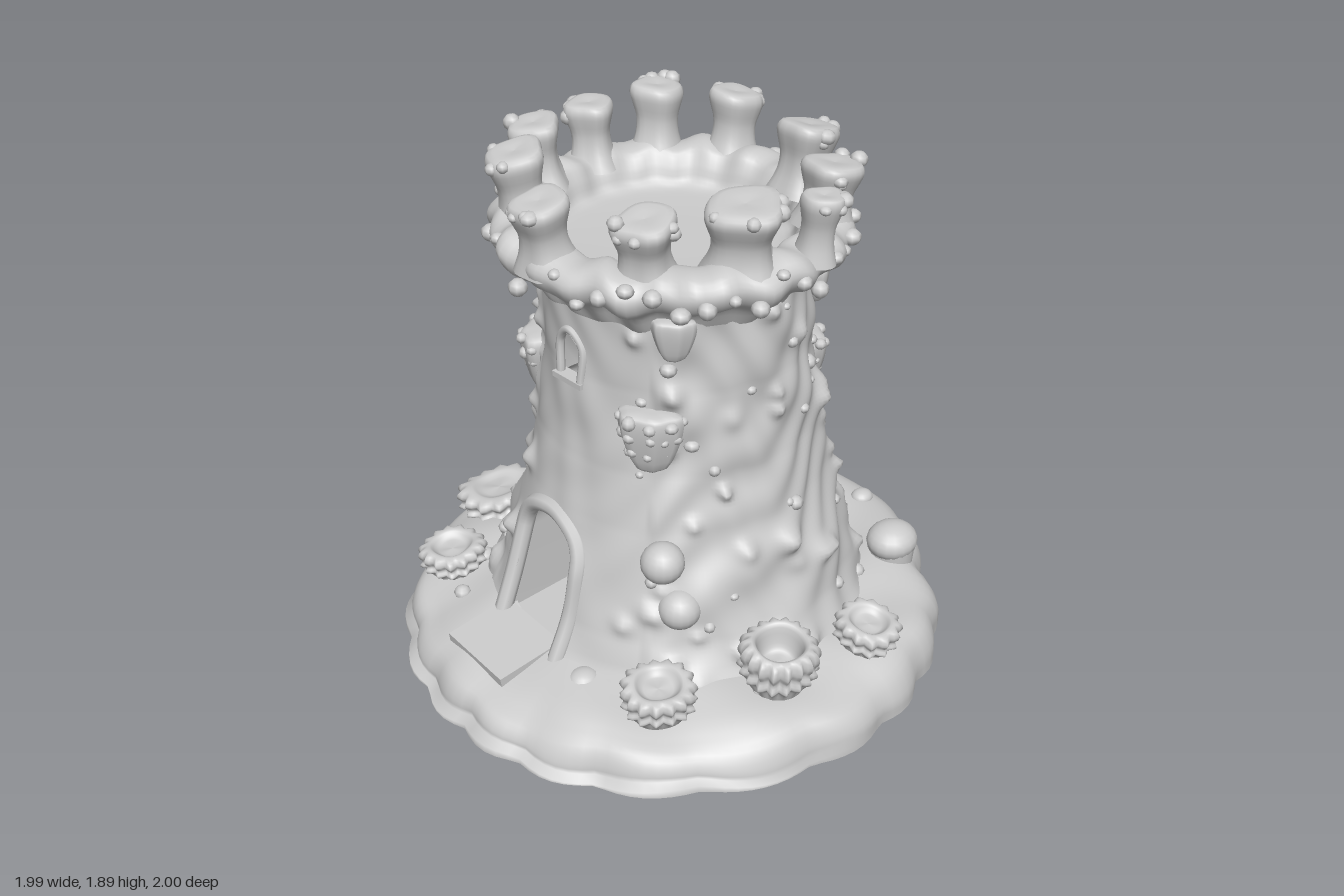
import * as THREE from 'three';

const mat = new THREE.MeshStandardMaterial({ color: 0xcccccc, side: THREE.DoubleSide });
const CZ = -0.03; // tower axis
const DOOR = { x: -0.065, w: 0.15, spring: 0.5, base: 0.17 };
const V = (x, y, z) => new THREE.Vector3(x, y, z);

let seed = 7;
const rand = () => (seed = (seed * 16807) % 2147483647) / 2147483647;
const range = (a, b) => a + (b - a) * rand();

// Linear interpolation through [key, value] pairs
function lerpTable(table, k) {
  for (let i = 1; i < table.length; i++) {
    const [a, va] = table[i - 1], [b, vb] = table[i];
    if (k <= b) return va + (vb - va) * Math.max(0, (k - a) / (b - a));
  }
  return table[table.length - 1][1];
}

// Closed ring surface: fn(angle, t) gives a point; angle 0 faces the front. skip(p) leaves holes.
function ringSurface(nu, nv, fn, skip = () => false) {
  const pos = [], idx = [];
  for (let j = 0; j <= nv; j++)
    for (let i = 0; i < nu; i++) pos.push(...fn((i / nu) * Math.PI * 2, j / nv).toArray());
  const centre = (a, b) => V(0, 0, 0).fromArray(pos, a * 3).add(V(0, 0, 0).fromArray(pos, b * 3)).multiplyScalar(0.5);
  for (let j = 0; j < nv; j++)
    for (let i = 0; i < nu; i++) {
      const a = j * nu + i, b = j * nu + (i + 1) % nu, c = a + nu, d = b + nu;
      if (!skip(centre(a, d))) idx.push(a, b, c, b, d, c);
    }
  const g = new THREE.BufferGeometry();
  g.setAttribute('position', new THREE.Float32BufferAttribute(pos, 3));
  g.setIndex(idx);
  g.computeVertexNormals();
  return g;
}

// Resamples a profile of [radius, height] points
function profile(points) {
  const curve = new THREE.CatmullRomCurve3(points.map(([r, y]) => V(r, y, 0)), false, 'centripetal');
  return t => curve.getPoint(t);
}

const WALL = [[0.12, 0.73], [0.22, 0.675], [0.32, 0.635], [0.5, 0.585], [0.7, 0.53], [0.9, 0.49], [1.2, 0.46], [1.6, 0.46]];
// Lumps swelling out of the stone on the sides and back
const lumps = Array.from({ length: 130 }, () => ({
  a: range(0.5, Math.PI * 2 - 0.5), y: range(0.2, 1.5), size: range(0.025, 0.055), h: range(0.02, 0.045),
}));
function wallRadius(a, y) {
  const calm = Math.cos(a) > 0.8 ? 0.35 : 1;
  const stones = Math.sin(12 * a + 3 * Math.sin(4 * y)) * Math.sin(20 * y + 2 * Math.sin(5 * a));
  let r = lerpTable(WALL, y) + calm * (0.012 * stones + 0.007 * Math.sin(7 * a + 3 * Math.sin(6 * y)));
  const turn = (a + Math.PI * 2) % (Math.PI * 2);
  for (const l of lumps) {
    const d = Math.hypot((turn - l.a) * 0.52, y - l.y) / l.size;
    if (d < 2) r += l.h * Math.exp(-1.5 * d * d);
  }
  return r;
}
const onWall = (a, y, out = 0) => {
  const r = wallRadius(a, y) + out;
  return V(Math.sin(a) * r, y, Math.cos(a) * r + CZ);
};
const frontPoint = (x, y, out = 0) => onWall(Math.asin(x / lerpTable(WALL, y)), y, out);

// Arched opening outline, from foot to foot
function archPoints(x, w, base, spring, rise, n = 16) {
  const pts = [[x - w, base], [x - w, (base + spring) / 2]];
  for (let i = 0; i <= n; i++) {
    const t = Math.PI * (1 - i / n);
    pts.push([x + w * Math.cos(t), spring + rise * Math.sin(t)]);
  }
  return pts.concat([[x + w, (base + spring) / 2], [x + w, base]]);
}
const doorOutline = archPoints(DOOR.x, DOOR.w, DOOR.base, DOOR.spring, 0.15);
const windowOutline = [[-0.085, 1.17], [-0.085, 1.3], [-0.03, 1.35], [0.025, 1.3], [0.025, 1.17]];
function inside(outline, p) {
  let hit = false;
  outline.forEach(([x, y], i) => {
    const [u, v] = outline[(i + 1) % outline.length];
    if ((y > p.y) !== (v > p.y) && p.x < ((u - x) * (p.y - y)) / (v - y) + x) hit = !hit;
  });
  return p.z > 0 && hit;
}

export function createModel() {
  const model = new THREE.Group();
  const add = (name, geo, p = V(0, 0, 0), parent = model) => {
    const m = new THREE.Mesh(geo, mat);
    m.name = name;
    m.position.copy(p);
    parent.add(m);
    return m;
  };
  const ball = new THREE.SphereGeometry(1, 18, 12);
  const smallBall = new THREE.SphereGeometry(1, 8, 6);
  const knob = (name, p, r, parent) => {
    const m = add(name, smallBall, p, parent);
    m.scale.set(r, r * range(0.75, 1), r);
  };

  // Lobed ground mound, open underneath, lower at the front
  const mound = profile([[0.99, 0], [0.985, 0.07], [0.945, 0.14], [0.86, 0.18], [0.74, 0.195], [0.6, 0.205]]);
  const groundPoint = (a, t) => {
    const p = mound(t), edge = 1 - t, front = Math.cos(a);
    const lobes = 0.03 * Math.abs(Math.sin(10 * a + 0.8 * Math.sin(3 * a))) - 0.02;
    const r = p.x + edge * (lobes - 0.05 * Math.exp(-(((a - 2.49) / 0.1) ** 2)) + 0.012 * Math.sin(2 * a + 1))
      - (t > 0.1 ? 0.04 * Math.max(0, front) * edge : 0);
    const y = p.y * (1 - 0.22 * front * Math.min(1, edge * 2)) + (t > 0 ? 0.01 * Math.sin(9 * a + 6 * t) : 0);
    return V(Math.sin(a) * r * 1.01, y, Math.cos(a) * r);
  };
  add('groundMound', ringSurface(140, 18, groundPoint));

  // Tower wall with door and window openings
  add('towerWall', ringSurface(220, 100, (a, t) => onWall(a, 0.12 + t * 1.44),
    p => inside(doorOutline, p) || inside(windowOutline, p)));

  // Recess: sides running in from the wall, closed by a rounded back
  const recess = (name, outline, backZ, bulge) => {
    const pos = [], idx = [], n = outline.length, rows = 8;
    const cx = (outline[0][0] + outline[n - 1][0]) / 2, cy = outline[0][1];
    for (let k = 0; k <= rows; k++)
      outline.forEach(([x, y], i) => {
        const q = (Math.max(0, k - 1) / (rows - 1)) * Math.PI / 2, s = Math.cos(q);
        if (k === 0) pos.push(...frontPoint(x, y, 0.01).toArray());
        else pos.push(cx + (x - cx) * s, cy + (y - cy) * s, backZ - bulge * Math.sin(q));
        const a = k * n + i;
        if (k && i) idx.push(a - n - 1, a - n, a - 1, a - n, a, a - 1);
      });
    const g = new THREE.BufferGeometry();
    g.setAttribute('position', new THREE.Float32BufferAttribute(pos, 3));
    g.setIndex(idx);
    g.computeVertexNormals();
    add(name + 'Recess', g);
  };
  const frame = (name, outline, r, out) => {
    const path = new THREE.CatmullRomCurve3(outline.map(([x, y]) => frontPoint(x, y, out)), false, 'centripetal');
    add(name + 'Frame', new THREE.TubeGeometry(path, 60, r, 8));
  };
  recess('door', doorOutline, 0.3, 0.15);
  frame('door', archPoints(DOOR.x, DOOR.w + 0.022, DOOR.base, DOOR.spring, 0.165), 0.032, -0.008);
  add('doorFloor', new THREE.BoxGeometry(0.3, 0.03, 0.34), V(DOOR.x, 0.18, 0.46));
  const step = add('doorStep', new THREE.BoxGeometry(0.32, 0.06, 0.26), V(-0.1, 0.163, 0.71));
  step.rotation.set(0.13, -0.07, 0);
  recess('window', windowOutline, 0.35, 0.02);
  frame('window', windowOutline, 0.015, -0.003);
  add('windowSill', new THREE.BoxGeometry(0.14, 0.02, 0.05), V(-0.03, 1.165, 0.425));

  // Overhanging crown with a sunken roof floor
  const crown = profile([[0.45, 1.44], [0.5, 1.52], [0.575, 1.56], [0.6, 1.62], [0.56, 1.67], [0.46, 1.67],
    [0.42, 1.62], [0.39, 1.56], [0.3, 1.545], [0.001, 1.54]]);
  add('crown', ringSurface(140, 36, (a, t) => {
    const p = crown(t), rim = THREE.MathUtils.smoothstep(p.x, 0.35, 0.5);
    const r = p.x + rim * (0.009 * Math.sin(11 * a + 2 * Math.sin(3 * a)) + 0.01 * Math.sin(23 * a + 9 * p.y));
    return V(Math.sin(a) * r - 0.005, p.y + rim * 0.011 * Math.sin(17 * a + 1), Math.cos(a) * r - 0.005);
  }));
  for (let i = 0; i < 44; i++) {
    const a = i * 0.143, r = 0.585 + range(-0.01, 0.015);
    knob('crownKnob', V(Math.sin(a) * r, range(1.54, 1.66), Math.cos(a) * r), range(0.018, 0.034));
  }

  // Flared merlons leaning outward: [x, z, width]
  [[-0.22, -0.5, 0.09], [-0.42, -0.33, 0.09], [-0.5, -0.1, 0.085], [-0.48, 0.15, 0.09], [-0.31, 0.36, 0.1],
    [-0.02, 0.51, 0.095], [0.28, 0.37, 0.1], [0.43, 0.12, 0.125], [0.53, -0.11, 0.07], [0.38, -0.32, 0.1],
    [0.16, -0.44, 0.1]].forEach(([x, z, w], n) => {
    const merlon = new THREE.Group();
    merlon.name = 'merlon';
    const shape = profile([[w * 1.1, 0], [w * 0.82, 0.07], [w * 0.78, 0.13], [w * 0.93, 0.18], [w, 0.215], [w * 0.85, 0.24], [0.001, 0.235]]);
    add('merlonBody', ringSurface(24, 16, (a, t) => {
      const p = shape(t), r = p.x * (1 + 0.06 * Math.sin(4 * a + n) + 0.05 * Math.sin(3 * a + 2 * n));
      return V(Math.sin(a) * r, p.y + 0.12 * r * Math.sin(a + n), Math.cos(a) * r);
    }), V(0, 0, 0), merlon);
    for (let i = 0; i < 5; i++) {
      const a = range(-1.5, 1.5);
      knob('merlonKnob', V(Math.sin(a) * w * 0.9, range(0.19, 0.24), Math.cos(a) * w * 0.9), range(0.02, 0.032), merlon);
    }
    merlon.position.set(x, 1.62, z);
    merlon.rotation.set(0.13, Math.atan2(x, z), 0, 'YXZ');
    merlon.scale.y = 1 + 0.06 * Math.sin(2 * n);
    model.add(merlon);
  });

  // Small knobs scattered over sides and back
  for (let i = 0; i < 45; i++)
    knob('wallKnob', onWall(range(0.55, Math.PI * 2 - 0.55), range(0.25, 1.5), -0.006), range(0.015, 0.032));

  // Swollen brackets clinging to the wall, the large ones knobbly: [angle, y, size]
  [[0.62, 1.04, 1], [-0.95, 1.04, 1], [2.75, 0.99, 1], [-1.9, 1.04, 0.75],
    [0.78, 1.42, 0.65], [-0.82, 1.42, 0.7], [2.3, 1.4, 0.6], [-2.1, 1.38, 0.6]].forEach(([a, y, s]) => {
    const bracket = new THREE.Group();
    bracket.name = 'wallBracket';
    const shape = profile([[0.001, -0.13], [0.05, -0.11], [0.095, -0.01], [0.11, 0.07], [0.1, 0.1], [0.001, 0.11]]);
    add('bracketBody', ringSurface(24, 14, (t, v) => {
      const p = shape(v), r = p.x * (1 + 0.07 * Math.sin(6 * t));
      return V(Math.sin(t) * r, p.y, Math.cos(t) * r * 0.65);
    }), V(0, 0, 0), bracket);
    for (let i = 0; s > 0.7 && i < 13; i++) {
      const t = -1.4 + (i % 5) * 0.7 + range(-0.15, 0.15), h = 0.08 - Math.floor(i / 5) * 0.06 + range(-0.015, 0.015);
      const r = 0.1 + (h - 0.06) * 0.25;
      knob('bracketKnob', V(Math.sin(t) * r, h, Math.cos(t) * r * 0.66), range(0.016, 0.026), bracket);
    }
    bracket.position.copy(onWall(a, y));
    bracket.rotation.y = a;
    bracket.scale.setScalar(s);
    model.add(bracket);
  });

  // Round growths on the wall: [x, y, z, radius]
  [[0.4, 0.64, 0.42, 0.075], [-0.43, 0.58, -0.44, 0.07], [0.43, 0.44, 0.37, 0.075]]
    .forEach(([x, y, z, r]) => add('wallBall', ball, V(x, y, z)).scale.set(r, r * 0.95, r));

  // Toothed cups on the ground: [x, y, z, radius, height, teeth, tilt, hollow depth]
  [[-0.74, 0.21, -0.37, 0.15, 0.2, 18, 0.1, 0.5], [0.71, 0.21, 0.18, 0.135, 0.155, 18, 0.1, 0.6],
    [0.78, 0.2, -0.19, 0.115, 0.1, 13, 0.15, 0.25], [0.54, 0.2, 0.57, 0.125, 0.11, 15, 0.1, 0.25],
    [-0.6, 0.16, 0.55, 0.125, 0.095, 15, 0.1, 0.25], [-0.79, 0.15, 0.17, 0.165, 0.1, 14, 0.15, 0.15]]
    .forEach(([x, y, z, r, h, teeth, tilt, deep]) => {
      const shape = profile([[0.7, -0.2], [0.85, 0.15], [0.97, 0.3], [0.88, 0.5], [0.97, 0.72], [0.88, 0.95], [0.66, 1],
        [0.53, 1 - deep * 0.6], [0.4, 1 - deep], [0.001, 1 - deep]]);
      const cup = add('toothedCup', ringSurface(teeth * 4, 27, (a, t) => {
        const p = shape(t), out = THREE.MathUtils.smoothstep(p.x, 0.7, 0.95);
        const q = r * (p.x + out * 0.085 * Math.cos(teeth * a));
        return V(Math.sin(a) * q, p.y * h + 0.05 * q * Math.sin(3 * a + x), Math.cos(a) * q);
      }), V(x, y, z));
      cup.rotation.set(tilt, Math.atan2(x, z), 0, 'YXZ');
    });

  // Rounded capped stalks on the ground: [x, z, radius, top]
  [[-0.38, -0.86, 0.095, 0.38], [-0.16, -0.83, 0.085, 0.32], [0.51, -0.65, 0.1, 0.33], [0.19, -0.85, 0.045, 0.23],
    [0.24, 0.64, 0.06, 0.21]].forEach(([x, z, r, top]) => {
    add('stalk', new THREE.CylinderGeometry(r * 0.88, r * 0.75, top - r * 0.7 - 0.1, 18, 1, true), V(x, (top - r * 0.7 + 0.1) / 2, z));
    add('stalkCap', ball, V(x, top - r * 0.7, z)).scale.set(r * 0.92, r * 0.7, r);
  });
  for (let i = 0; i < 16; i++)
    knob('pebble', groundPoint(range(0.5, 5.8), range(0.7, 0.95)), range(0.02, 0.04));
  return model;
}
